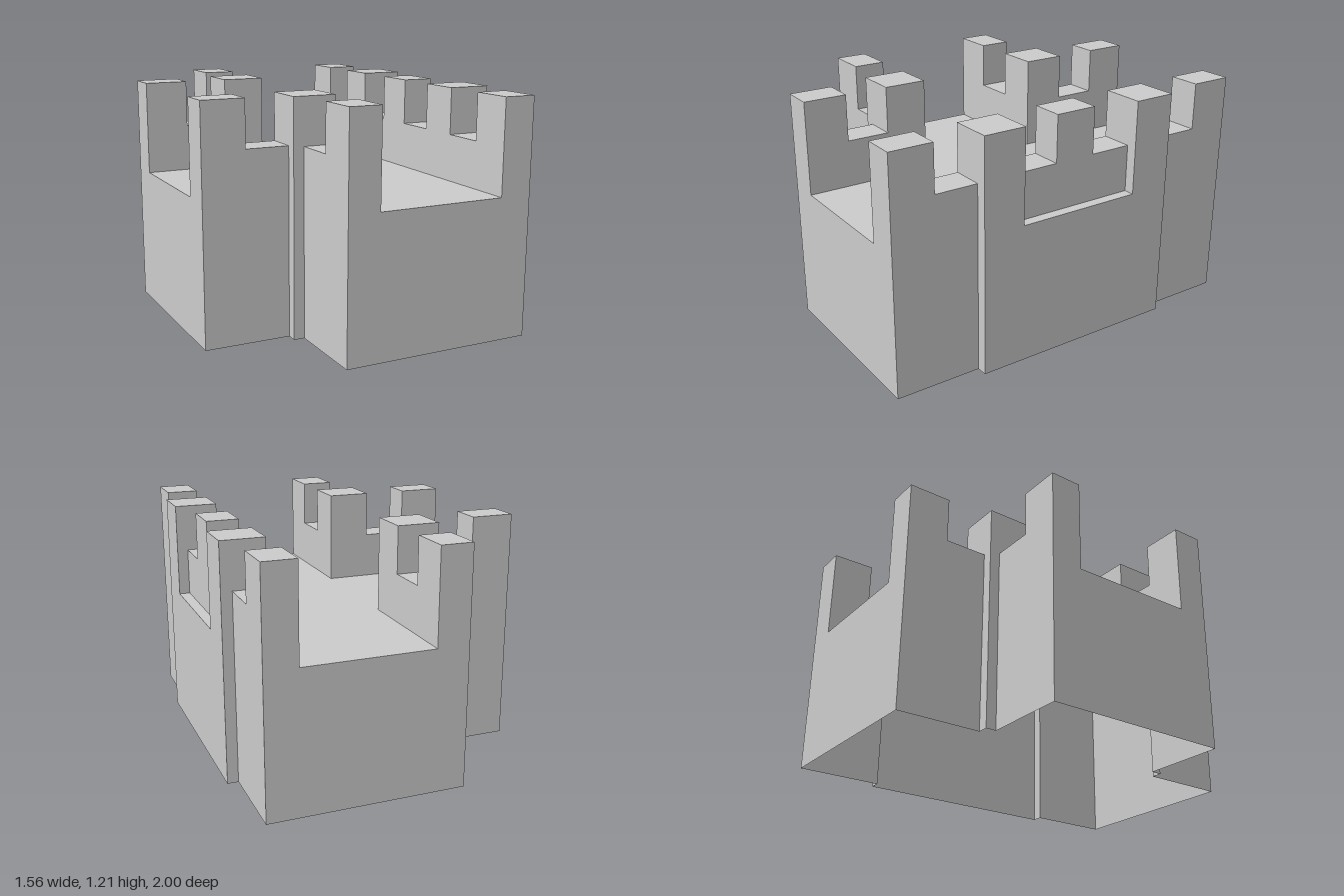
import * as THREE from 'three';

const U = 1 / 18;                                  // plan module
const FLOOR = 0.725, CRENEL = 0.967, MERLON = 1.208;

// Plan of the half with z >= 0, in modules: [x0, x1, z0, z1, height]; later entries win
const plan = [
  [-2, 10, 0, 18, FLOOR],        // main walkway
  [-14, -2, 0, 6, FLOOR],        // side walkway
  [10, 14, 0, 6, FLOOR],         // outer ledge
  [10, 13, 0, 18, CRENEL],       // long parapet
  [10, 13, 0, 2, MERLON],
  [10, 14, 6, 10, MERLON],
  [10, 13, 14, 18, MERLON],
  [-5, -2, 10, 14, CRENEL],      // short parapet of the main walkway
  [-5, -2, 14, 18, MERLON],
  [-6, -2, 6, 10, MERLON],       // corner pier
  [-10, -6, 6, 9, CRENEL],       // parapet of the side walkway
  [-14, -10, 6, 9, MERLON],
];
const xs = [-14, -10, -6, -5, -2, 10, 13, 14];
const zs = [-18, -14, -10, -9, -6, -2, 2, 6, 9, 10, 14, 18];

function heightAt(x, z) {
  let h = 0;
  for (const [x0, x1, z0, z1, top] of plan) {
    if (x > x0 && x < x1 && Math.abs(z) >= z0 && Math.abs(z) < z1) h = top;
  }
  return h;
}

export function createModel() {
  const model = new THREE.Group();
  model.name = 'castleJunction';
  const material = new THREE.MeshStandardMaterial({
    color: 0xcccccc, flatShading: true, side: THREE.DoubleSide,
  });
  const parts = { floor: [], crenelTops: [], merlonTops: [], outerWalls: [], parapetWalls: [] };

  // Four corners, counter-clockwise from outside
  const quad = (part, a, b, c, d) => parts[part].push(...a, ...b, ...c, ...a, ...c, ...d);

  // Upright face between two neighbouring heights; its front is right of p -> q when h is higher
  const wall = (p, q, h, next) => {
    if (next >= h) return;
    quad(next === 0 ? 'outerWalls' : 'parapetWalls',
      [p[0], next, p[1]], [q[0], next, q[1]], [q[0], h, q[1]], [p[0], h, p[1]]);
  };

  // Hollow shell, open below: a top for each plan cell and walls where the height drops
  for (let i = 0; i < xs.length - 1; i++) {
    for (let j = 0; j < zs.length - 1; j++) {
      const mx = (xs[i] + xs[i + 1]) / 2, mz = (zs[j] + zs[j + 1]) / 2;
      const h = heightAt(mx, mz);
      if (h === 0) continue;
      const x0 = xs[i] * U, x1 = xs[i + 1] * U, z0 = zs[j] * U, z1 = zs[j + 1] * U;
      const top = h === FLOOR ? 'floor' : h === CRENEL ? 'crenelTops' : 'merlonTops';
      quad(top, [x0, h, z1], [x1, h, z1], [x1, h, z0], [x0, h, z0]);
      const west = (xs[i - 1] + xs[i]) / 2, east = (xs[i + 1] + xs[i + 2]) / 2;
      const back = (zs[j - 1] + zs[j]) / 2, front = (zs[j + 1] + zs[j + 2]) / 2;
      wall([x0, z1], [x1, z1], h, heightAt(mx, front));
      wall([x1, z0], [x0, z0], h, heightAt(mx, back));
      wall([x1, z1], [x1, z0], h, heightAt(east, mz));
      wall([x0, z0], [x0, z1], h, heightAt(west, mz));
    }
  }

  for (const [name, points] of Object.entries(parts)) {
    const geometry = new THREE.BufferGeometry();
    geometry.setAttribute('position', new THREE.Float32BufferAttribute(points, 3));
    geometry.computeVertexNormals();
    const mesh = new THREE.Mesh(geometry, material);
    mesh.name = name;
    model.add(mesh);
  }
  return model;
}
